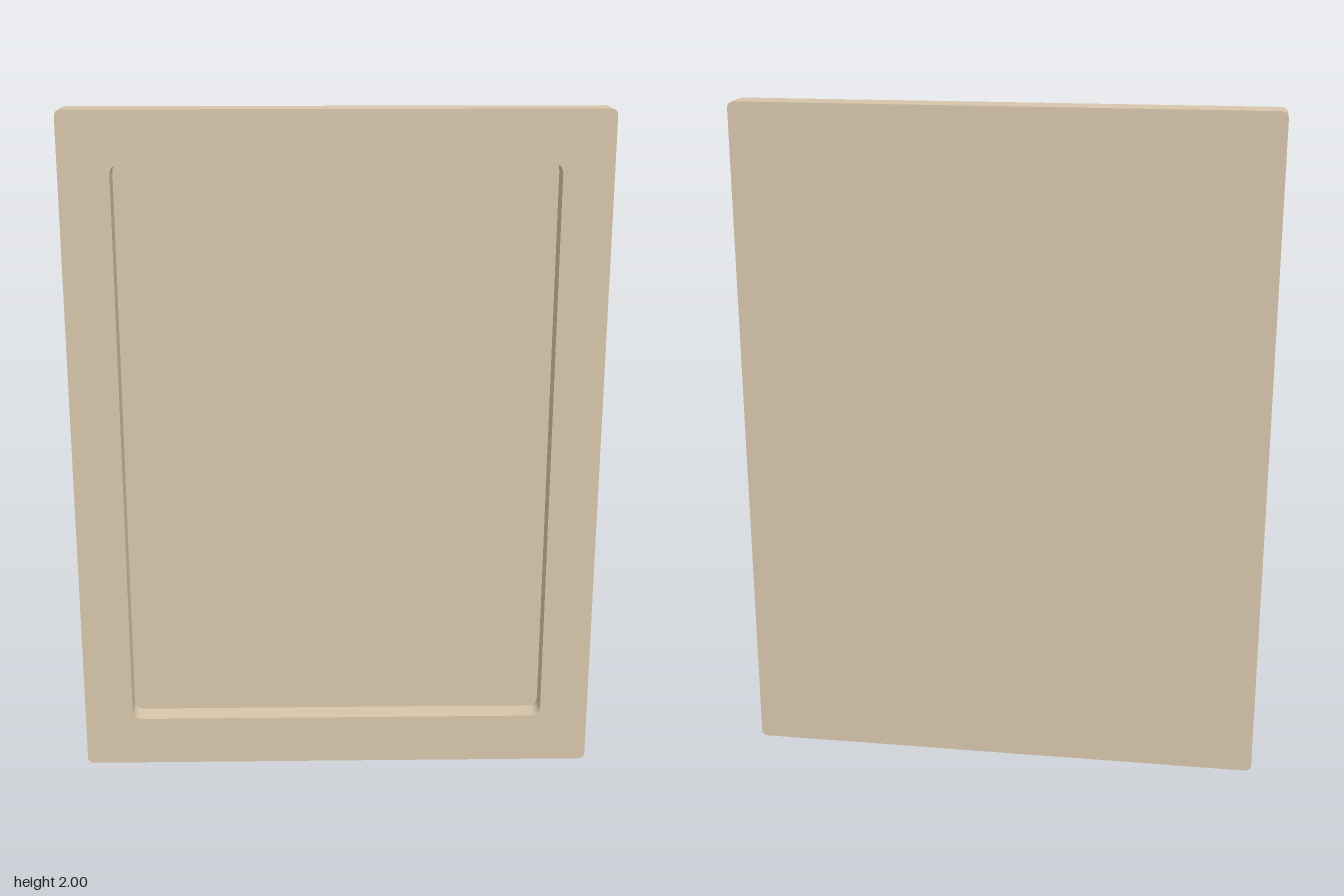
import * as THREE from 'three';
import { toCreasedNormals } from 'three/addons/utils/BufferGeometryUtils.js';

const WIDTH = 1.55, HEIGHT = 2, THICKNESS = 0.094, RECESS = 0.07, RIM = 0.15;

// Trace a rounded rectangle centred on x = 0
function roundedRect(path, w, y0, y1, r) {
  const x = w / 2;
  path.moveTo(-x + r, y0);
  path.lineTo(x - r, y0);
  path.quadraticCurveTo(x, y0, x, y0 + r);
  path.lineTo(x, y1 - r);
  path.quadraticCurveTo(x, y1, x - r, y1);
  path.lineTo(-x + r, y1);
  path.quadraticCurveTo(-x, y1, -x, y1 - r);
  path.lineTo(-x, y0 + r);
  path.quadraticCurveTo(-x, y0, -x + r, y0);
  return path;
}

function slab(name, shape, depth, z, material) {
  const geometry = new THREE.ExtrudeGeometry(shape, { depth, bevelEnabled: false, curveSegments: 4 });
  const mesh = new THREE.Mesh(toCreasedNormals(geometry, 0.6), material);
  mesh.name = name;
  mesh.position.z = z;
  return mesh;
}

export function createModel() {
  const group = new THREE.Group();
  group.name = 'recessedPanel';
  const beige = new THREE.MeshStandardMaterial({ color: 0xd6c5aa });
  beige.name = 'beige';

  const outline = () => roundedRect(new THREE.Shape(), WIDTH, 0, HEIGHT, 0.02);

  // Back board, whose front face is the floor of the recess
  group.add(slab('backBoard', outline(), THICKNESS - RECESS, -THICKNESS / 2, beige));

  // Raised rim around the recess
  const rim = outline();
  rim.holes.push(roundedRect(new THREE.Path(), WIDTH - 2 * RIM + 0.01, RIM, HEIGHT - RIM, 0.03));
  group.add(slab('rim', rim, RECESS, THICKNESS / 2 - RECESS, beige));

  // The whole panel stands very slightly turned
  group.rotation.y = -0.009;
  return group;
}
